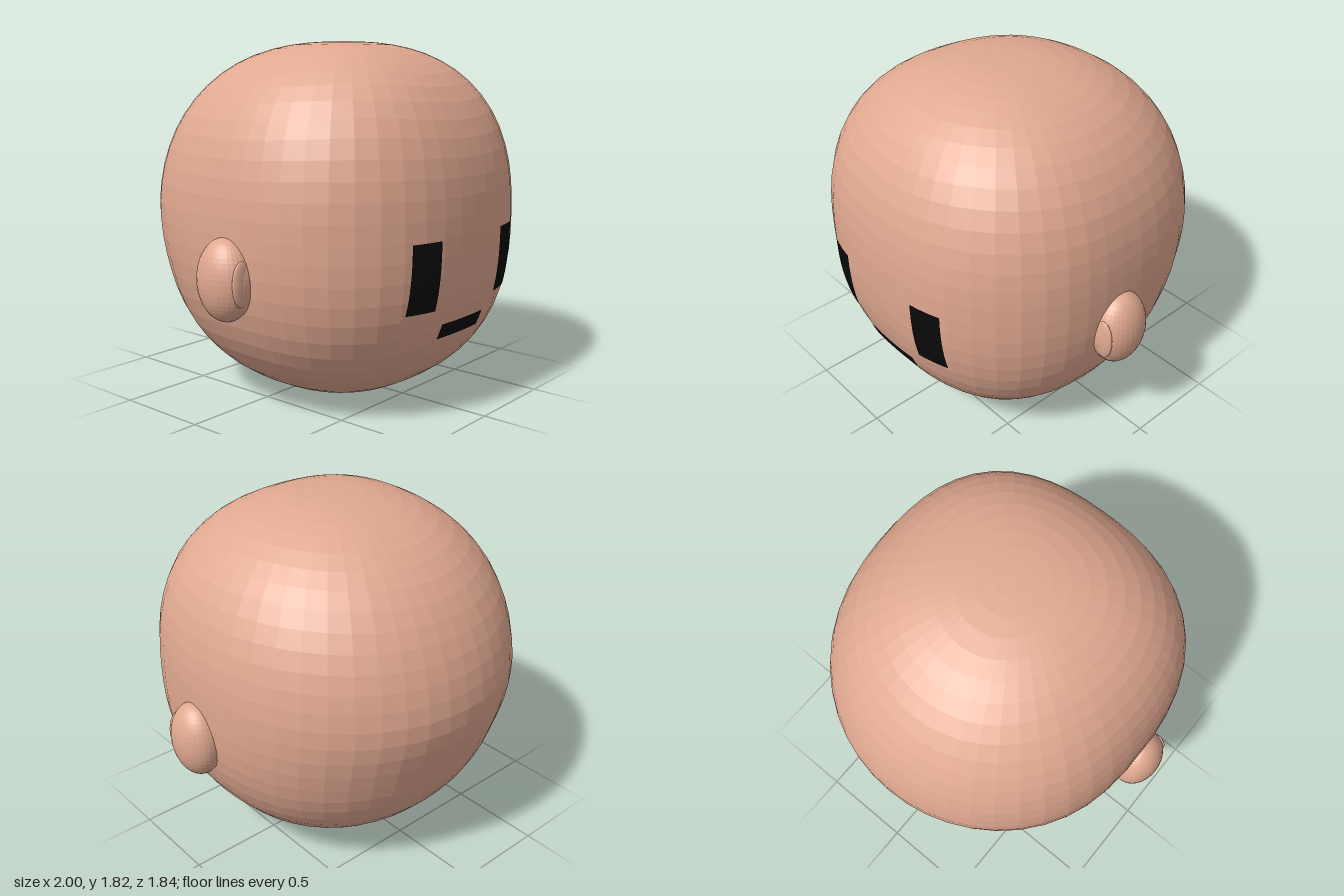
import * as THREE from 'three';

const HALF = { x: 0.885, y: 0.912, front: 0.82, back: 1.023 };
const CENTRE = { y: 0.914, z: 0.098 };
const POWER = 2.45;

// Faceted normals for a geometry
function faceted(geometry) {
  const flat = geometry.toNonIndexed();
  flat.computeVertexNormals();
  return flat;
}

// Squarish ball: boxy at the face, rounder and longer at the back of the skull
function headGeometry() {
  const geometry = new THREE.SphereGeometry(1, 48, 32);
  const pos = geometry.attributes.position;
  const u = new THREE.Vector3();
  for (let i = 0; i < pos.count; i++) {
    u.fromBufferAttribute(pos, i);
    const n = POWER - 0.35 * Math.max(0, -u.z);
    const sum = Math.abs(u.x) ** n + Math.abs(u.y) ** n + Math.abs(u.z) ** n;
    u.multiplyScalar(sum ** (-1 / n));
    // the skull tucks in towards the neck
    const tuck = 1 - 0.05 * (1 - THREE.MathUtils.smoothstep(u.y, -0.35, 0.1));
    const depth = u.z > 0 ? HALF.front : HALF.back * tuck;
    pos.setXYZ(i, u.x * HALF.x, CENTRE.y + u.y * HALF.y, CENTRE.z + u.z * depth);
  }
  return faceted(geometry);
}

// Depth of the face surface at a given x, y
function faceZ(x, y) {
  const a = Math.abs(x / HALF.x) ** POWER;
  const b = Math.abs((y - CENTRE.y) / HALF.y) ** POWER;
  return CENTRE.z + HALF.front * (1 - a - b) ** (1 / POWER);
}

// Thin rectangular patch that follows the face
function facePatch(x0, x1, y0, y1) {
  const geometry = new THREE.PlaneGeometry(x1 - x0, y1 - y0, 8, 8);
  geometry.translate((x0 + x1) / 2, (y0 + y1) / 2, 0);
  const pos = geometry.attributes.position;
  for (let i = 0; i < pos.count; i++) {
    pos.setZ(i, faceZ(pos.getX(i), pos.getY(i)) + 0.005);
  }
  geometry.computeVertexNormals();
  return geometry;
}

export function createModel() {
  const skin = new THREE.MeshStandardMaterial({ color: 0xe0a890 });
  skin.name = 'skin';
  const black = new THREE.MeshStandardMaterial({ color: 0x0a0a0a });
  black.name = 'black';

  const model = new THREE.Group();
  model.name = 'head';
  const add = (name, geometry, material) => {
    const mesh = new THREE.Mesh(geometry, material);
    mesh.name = name;
    model.add(mesh);
    return mesh;
  };
  const ellipsoid = (rx, ry, rz) =>
    faceted(new THREE.SphereGeometry(1, 32, 24).scale(rx, ry, rz));

  add('skull', headGeometry(), skin);
  add('mouth', facePatch(-0.177, 0.177, 0.4, 0.48), black);

  // Eyes and ears on both sides
  for (const [side, s] of [['left', 1], ['right', -1]]) {
    const xs = [0.26 * s, 0.432 * s].sort((a, b) => a - b);
    add(side + 'Eye', facePatch(xs[0], xs[1], 0.565, 0.905), black);
    add(side + 'Ear', ellipsoid(0.12, 0.203, 0.155), skin)
      .position.set(0.88 * s, 0.71, 0.105);
    add(side + 'InnerEar', ellipsoid(0.056, 0.11, 0.02), skin)
      .position.set(0.902 * s, 0.71, 0.235);
  }
  return model;
}
